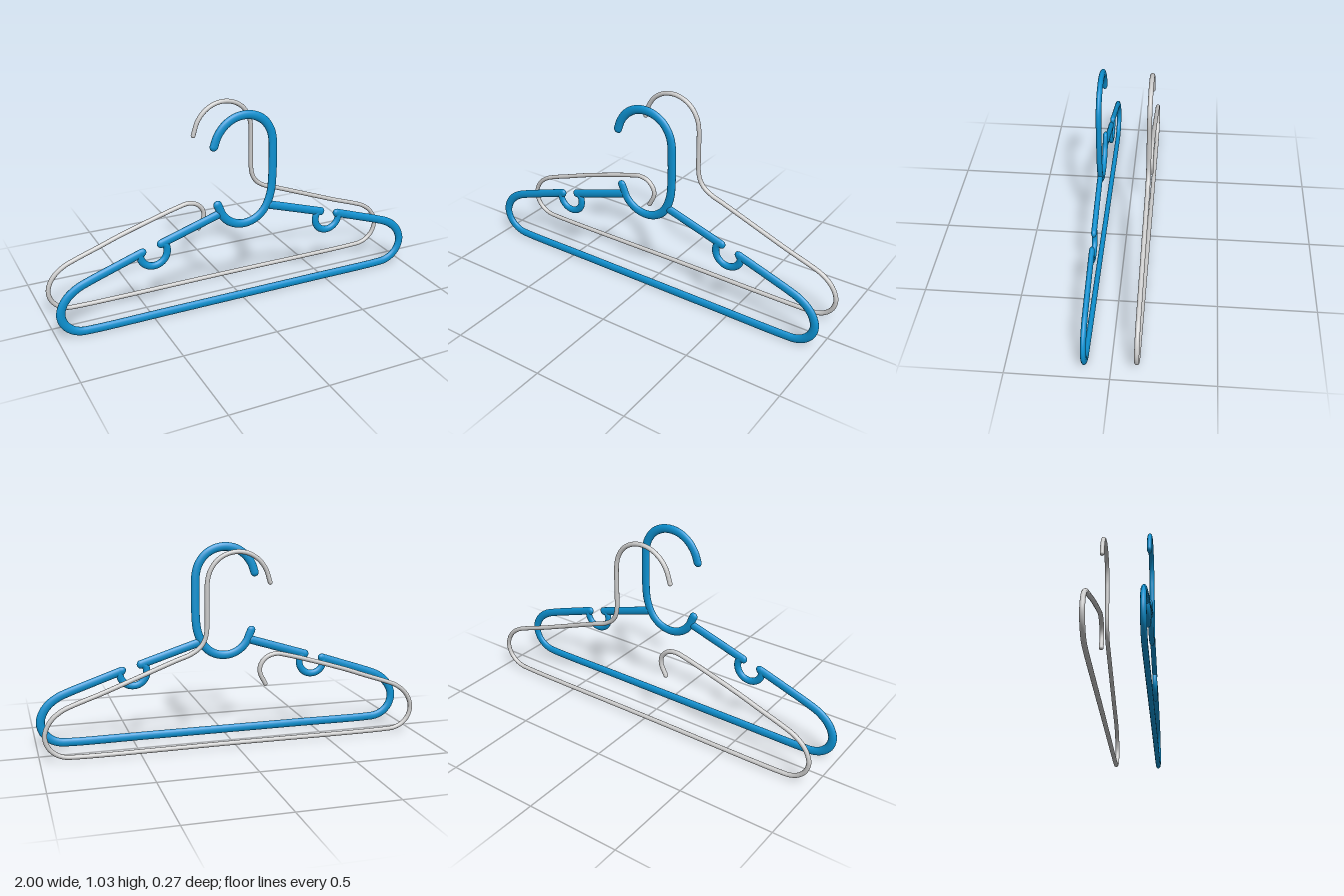
import * as THREE from 'three';

const blue = new THREE.MeshStandardMaterial({ color: 0x0d92d2 });
const grey = new THREE.MeshStandardMaterial({ color: 0xcccccc });

const mirrorX = (pts) => pts.map(([x, y]) => [-x, y]);

// Rounded rod along a smooth planar path; depth flattens it in z
function rod(name, pts, radius, material, depth = 1, segments = 120) {
  const group = new THREE.Group();
  group.name = name;
  const curve = new THREE.CatmullRomCurve3(pts.map(([x, y]) => new THREE.Vector3(x, y, 0)), false, 'centripetal');
  const tube = new THREE.Mesh(new THREE.TubeGeometry(curve, segments, radius, 16), material);
  tube.name = name + 'Tube';
  group.add(tube);
  for (const t of [0, 1]) {
    const cap = new THREE.Mesh(new THREE.SphereGeometry(radius, 16, 12), material);
    cap.name = name + 'End';
    cap.position.copy(curve.getPoint(t));
    group.add(cap);
  }
  group.scale.z = depth;
  return group;
}

// Points on a circular arc, angles in degrees
function arc(cx, cy, r, from, to, n) {
  return Array.from({ length: n + 1 }, (_, i) => {
    const a = THREE.MathUtils.degToRad(from + ((to - from) * i) / n);
    return [cx + r * Math.cos(a), cy + r * Math.sin(a)];
  });
}

// Right shoulder end, running from the slope round to the bottom bar
const shoulder = [
  [0.70, 0.333], [0.83, 0.288], [0.885, 0.265], [0.935, 0.228], [0.966, 0.183],
  [0.9775, 0.135], [0.963, 0.083], [0.927, 0.045], [0.885, 0.027], [0.83, 0.0225],
];

// Upper hook, from the stem round to the free tip
const hookTop = [
  [0.159, 0.68], [0.159, 0.8], [0.157, 0.86], [0.144, 0.915], [0.108, 0.968], [0.056, 1.0],
  [0, 1.01], [-0.056, 1.0], [-0.108, 0.968], [-0.145, 0.92], [-0.164, 0.87],
];

function plasticHanger() {
  const group = new THREE.Group();
  group.name = 'plasticHanger';
  const r = 0.0225, depth = 0.61;
  const lowerArm = [[0.555, 0.382], ...shoulder];
  group.add(rod('frame', [...lowerArm, [0.4, 0.0225], ...mirrorX([...lowerArm, [0.4, 0.0225]]).reverse()], r, blue, depth, 240));

  // Hook with the curled lower loop
  group.add(rod('hook', [[-0.147, 0.56], ...arc(0, 0.575, 0.142, 195, 335, 9), [0.151, 0.58], ...hookTop], r, blue, depth, 180));

  // Inner arms and strap notches on both sides
  for (const side of [1, -1]) {
    const place = side > 0 ? (p) => p : mirrorX;
    group.add(rod('innerArm', place([[0.15, 0.506], [0.3, 0.459], [0.452, 0.411]]), r, blue, depth, 12));
    group.add(rod('strapNotch', place([[0.443, 0.412], ...arc(0.493, 0.37, 0.071, 155, 370, 12), [0.55, 0.385]]), 0.019, blue, 0.72, 50));
  }
  group.position.z = 0.123;
  return group;
}

function wireHanger() {
  const group = new THREE.Group();
  group.name = 'wireHanger';
  const outline = shoulder.map(([x, y]) => [x * 0.997, y + 0.002]);
  group.add(rod('wire', [
    // Hook, neck and left arm
    [-0.169, 0.85], ...hookTop.slice(0, -1).reverse(),
    [0.161, 0.62], [0.171, 0.575], [0.195, 0.538], [0.245, 0.505], [0.32, 0.478], [0.57, 0.383],
    ...outline, [0, 0.0245],
    // Other arm and its curled free end
    ...mirrorX(outline).reverse(),
    [-0.57, 0.38], [-0.26, 0.472], [-0.205, 0.482], [-0.155, 0.468], [-0.122, 0.43], [-0.118, 0.39], [-0.147, 0.328],
  ], 0.0118, grey, 1, 420));
  group.position.z = -0.123;
  return group;
}

export function createModel() {
  const model = new THREE.Group();
  model.name = 'coatHangers';
  model.add(plasticHanger(), wireHanger());
  return model;
}
